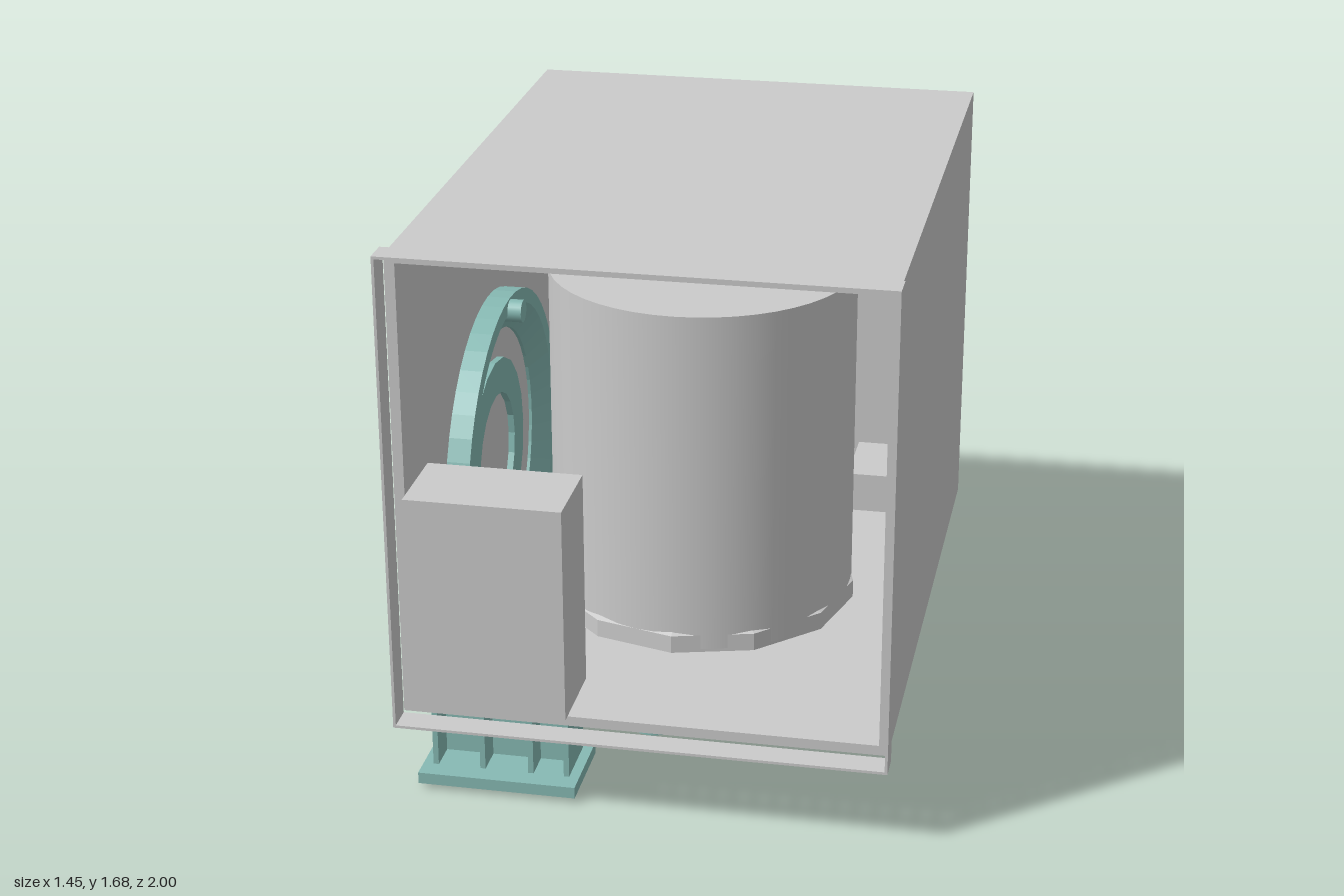
import * as THREE from 'three';

const grey = new THREE.MeshStandardMaterial({ color: 0xcccccc, side: THREE.DoubleSide });
const teal = new THREE.MeshStandardMaterial({ color: 0x87bab4, side: THREE.DoubleSide });
const greyFlat = new THREE.MeshStandardMaterial({ color: 0xcccccc, side: THREE.DoubleSide, flatShading: true });
const tealFlat = new THREE.MeshStandardMaterial({ color: 0x87bab4, side: THREE.DoubleSide, flatShading: true });

export function createModel() {
  const model = new THREE.Group();

  const add = (name, geometry, material, x = 0, y = 0, z = 0, parent = model) => {
    const mesh = new THREE.Mesh(geometry, material);
    mesh.name = name;
    mesh.position.set(x, y, z);
    parent.add(mesh);
    return mesh;
  };
  // Box given by its limits on each axis
  const block = (name, material, [x0, x1], [y0, y1], [z0, z1], parent = model) =>
    add(name, new THREE.BoxGeometry(x1 - x0, y1 - y0, z1 - z0), material,
      (x0 + x1) / 2, (y0 + y1) / 2, (z0 + z1) / 2, parent);
  const group = (name) => {
    const g = new THREE.Group();
    g.name = name;
    model.add(g);
    return g;
  };
  const rectangle = (Type, x0, x1, y0, y1) => {
    const p = new Type();
    p.moveTo(x0, y0).lineTo(x1, y0).lineTo(x1, y1).lineTo(x0, y1).closePath();
    return p;
  };

  // Housing, open at the front
  const housing = group('housing');
  const depth = [-0.94, 0.92];
  block('topWall', grey, [-0.7, 0.71], [1.635, 1.66], depth, housing);
  block('leftWall', grey, [0.685, 0.71], [0.26, 1.66], depth, housing);
  block('rightWall', grey, [-0.7, -0.67], [0.26, 1.66], depth, housing);
  block('backWall', grey, [-0.7, 0.71], [0.26, 1.66], [-0.94, -0.91], housing);

  // Floor with a round opening under the drum and a hatch opening at the back
  const floorShape = rectangle(THREE.Shape, -0.7, 0.71, -0.92, 0.94);
  const drumHole = new THREE.Path();
  drumHole.absarc(0, 0, 0.455, 0, Math.PI * 2, true);
  floorShape.holes.push(drumHole, rectangle(THREE.Path, 0.39, 0.6, 0.66, 0.87));
  const floor = add('floor', new THREE.ExtrudeGeometry(floorShape,
    { depth: 0.03, bevelEnabled: false, curveSegments: 6 }), grey, 0, 0.26, 0, housing);
  floor.rotation.x = -Math.PI / 2;

  // Thin band around the front opening
  const frameShape = rectangle(THREE.Shape, -0.71, 0.72, 0.245, 1.68);
  frameShape.holes.push(rectangle(THREE.Path, -0.702, 0.712, 0.253, 1.672));
  add('frontFrame', new THREE.ExtrudeGeometry(frameShape,
    { depth: 0.08, bevelEnabled: false }), grey, 0, 0, 0.92);

  // Four round studs on the back
  for (const x of [-0.575, 0.58])
    for (const y of [0.415, 1.51])
      add('backStud', new THREE.CylinderGeometry(0.043, 0.043, 0.07, 24), grey, x, y, -0.965)
        .rotation.x = Math.PI / 2;

  // Drum, hollow from below, with a pipe on top
  const drum = group('drum');
  add('drumWall', new THREE.CylinderGeometry(0.465, 0.465, 1.06, 48, 1, true), grey, 0.005, 0.83, 0, drum);
  add('drumLid', new THREE.CircleGeometry(0.465, 48), grey, 0.005, 1.36, 0, drum).rotation.x = -Math.PI / 2;
  add('drumPipe', new THREE.CylinderGeometry(0.093, 0.093, 0.28, 32), grey, 0.005, 1.5, 0, drum);
  add('drumCollar', new THREE.LatheGeometry([
    new THREE.Vector2(0.445, 0.36), new THREE.Vector2(0.48, 0.345), new THREE.Vector2(0.48, 0.245),
    new THREE.Vector2(0.455, 0.245), new THREE.Vector2(0.445, 0.36)], 12), greyFlat, 0, 0, 0, drum);

  // Control box behind the front opening
  block('controlBox', grey, [-0.66, -0.205], [0.31, 0.96], [0.72, 0.98]);

  // Wheel ring standing against the right wall and reaching through the floor
  const wheel = group('wheel');
  const ring = add('wheelRing', new THREE.LatheGeometry([
    new THREE.Vector2(0.42, -0.025), new THREE.Vector2(0.51, -0.035), new THREE.Vector2(0.545, -0.035),
    new THREE.Vector2(0.545, 0.035), new THREE.Vector2(0.5, 0.035), new THREE.Vector2(0.42, -0.015),
    new THREE.Vector2(0.42, -0.025)], 48), tealFlat, -0.632, 0.66, 0, wheel);
  ring.rotation.z = Math.PI / 2;
  ring.scale.y = -1;
  add('wheelPin', new THREE.CylinderGeometry(0.035, 0.035, 0.06, 20), teal, -0.585, 1.165, 0, wheel)
    .rotation.z = Math.PI / 2;
  block('wheelTab', teal, [-0.66, -0.61], [0.105, 0.13], [-0.055, 0.06], wheel);

  // Hub ring and cap on the outside of the right wall
  const hub = add('hubRing', new THREE.LatheGeometry([
    new THREE.Vector2(0.32, -0.05), new THREE.Vector2(0.32, 0), new THREE.Vector2(0.225, 0.028),
    new THREE.Vector2(0.21, 0.028), new THREE.Vector2(0.21, -0.05), new THREE.Vector2(0.32, -0.05)], 20),
  tealFlat, -0.7, 0.665, 0, wheel);
  hub.rotation.z = Math.PI / 2;
  add('hubCap', new THREE.CylinderGeometry(0.215, 0.215, 0.02, 20), grey, -0.717, 0.665, 0, wheel)
    .rotation.z = Math.PI / 2;

  // Small U-shaped clips guiding the wheel under the floor
  for (const z of [-0.18, 0.18]) {
    for (const side of [-0.012, 0.012])
      block('wheelClip', grey, [-0.6, -0.54], [0.18, 0.262], [z + side - 0.004, z + side + 0.004]);
    block('wheelClipBase', grey, [-0.6, -0.54], [0.18, 0.19], [z - 0.015, z + 0.015]);
  }

  // Front foot with three open compartments
  const foot = group('frontFoot');
  block('footBack', teal, [-0.64, -0.23], [0.04, 0.262], [0.67, 0.76], foot);
  for (const x of [-0.632, -0.49, -0.345, -0.238])
    block('footRib', teal, [x - 0.008, x + 0.008], [0.04, 0.262], [0.75, 0.85], foot);
  block('footTop', teal, [-0.64, -0.23], [0.24, 0.262], [0.67, 0.85], foot);
  block('footPlate', teal, [-0.67, -0.2], [0.015, 0.05], [0.64, 0.91], foot);
  block('footTab', teal, [-0.56, -0.31], [0, 0.02], [0.685, 0.695], foot);

  // Button and access panel under the front of the floor
  add('bottomButton', new THREE.CylinderGeometry(0.073, 0.073, 0.06, 32), teal, 0.01, 0.24, 0.77);
  block('bottomPanel', grey, [0.37, 0.62], [0.254, 0.262], [0.72, 0.82]);

  // Hatch chamber, open below, with a tilted flap
  const hatch = group('hatch');
  block('chamberTop', grey, [0.37, 0.62], [0.41, 0.42], [-0.91, -0.64], hatch);
  block('chamberFront', grey, [0.37, 0.62], [0.28, 0.42], [-0.65, -0.64], hatch);
  for (const x of [0.37, 0.61])
    block('chamberSide', grey, [x, x + 0.01], [0.28, 0.42], [-0.91, -0.64], hatch);
  block('hatchHinge', grey, [0.37, 0.61], [0.235, 0.262], [-0.885, -0.87], hatch);
  add('hatchFlap', new THREE.BoxGeometry(0.24, 0.022, 0.22), teal, 0.49, 0.155, -0.795, hatch)
    .rotation.x = 0.79;

  return model;
}
